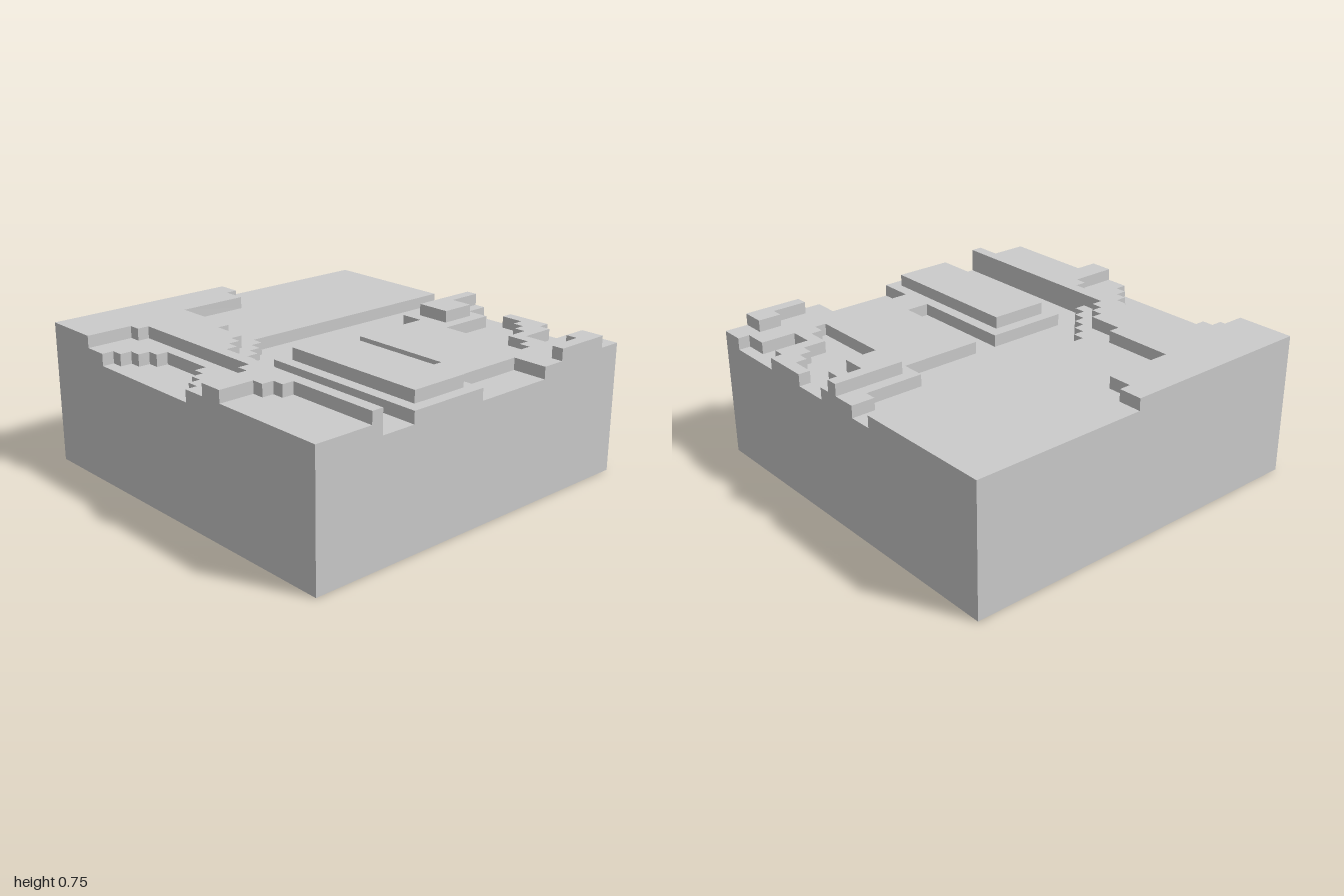
import * as THREE from 'three';

const CELL = 1 / 16; // the terrain is a 32 x 32 grid of square cells
const material = new THREE.MeshStandardMaterial({ color: 0xcccccc, flatShading: true });

// Stepped outline in grid cells: a start corner, then alternating x and z stops.
function steppedShape([x0, z0, ...stops]) {
  const toPoint = (x, z) => new THREE.Vector2(x * CELL - 1, 1 - z * CELL);
  const points = [toPoint(x0, z0)];
  let x = x0, z = z0;
  stops.forEach((stop, i) => {
    if (i % 2 === 0) x = stop;
    else z = stop;
    points.push(toPoint(x, z));
  });
  return new THREE.Shape(points);
}

// Terrace with the given outline, from one level (in cells) up to another.
function terrace(name, bottom, top, outline) {
  const geometry = new THREE.ExtrudeGeometry(steppedShape(outline), {
    depth: (top - bottom) * CELL, bevelEnabled: false,
  });
  geometry.rotateX(-Math.PI / 2).translate(0, bottom * CELL, 0);
  const mesh = new THREE.Mesh(geometry, material);
  mesh.name = name;
  return mesh;
}

export function createModel() {
  const group = new THREE.Group();
  group.name = 'terrainBlock';

  group.add(
    // Solid ground, whose top is the floor of the channels and pits
    terrace('groundBlock', 0, 10, [0, 0, 32, 32, 0]),

    // Middle level: west bank with the pond cut from its front edge
    terrace('westBank', 10, 11, [
      0, 0, 12, 21, 13, 22, 14, 23, 15, 24, 16, 25, 17, 26, 32, 32,
      18, 31, 17, 30, 16, 29, 15, 28, 10, 29, 9, 30, 8, 31, 7, 32, 0,
    ]),
    // Middle level: east bank with its inlets and stepped pits
    terrace('eastBank', 10, 11, [
      18, 0, 14, 2, 15, 7, 17, 14, 26, 16, 17, 23, 32, 16, 29, 9, 32, 0,
      30, 1, 28, 4, 26, 1, 25, 0, 21, 1, 23, 2, 24, 3, 25, 5, 27, 6, 28, 7,
      20, 2, 18,
    ]),

    // Top level
    terrace('frontRidge', 11, 12, [
      0, 15, 2, 16, 4, 22, 10, 23, 13, 24, 14, 25, 15, 26, 32, 27,
      24, 28, 23, 29, 22, 32, 20, 28, 19, 27, 6, 28, 5, 32, 0,
    ]),
    terrace('eastMesa', 11, 12, [18, 17, 31, 22, 18]),
    terrace('backKnoll', 11, 12, [16, 0, 17, 3, 19, 6, 16]),
    terrace('cornerKnoll', 11, 12, [30, 2, 32, 7, 31, 4, 30]),
  );
  return group;
}
